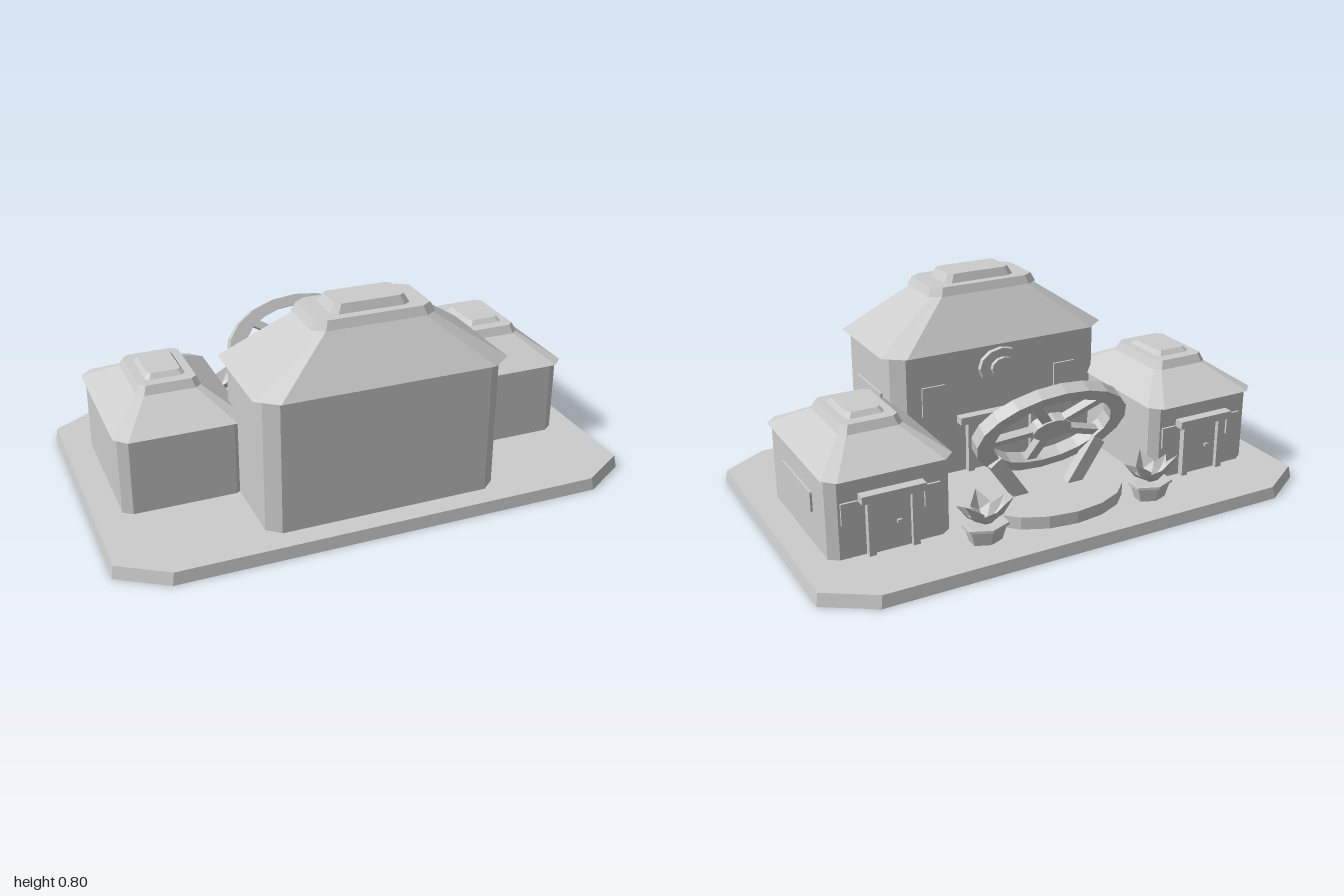
import * as THREE from 'three';

const stone = new THREE.MeshStandardMaterial({ color: 0xcccccc, flatShading: true, side: THREE.DoubleSide });
stone.name = 'grey stone';

function add(parent, name, geo, x = 0, y = 0, z = 0) {
  const m = new THREE.Mesh(geo, stone);
  m.name = name;
  m.position.set(x, y, z);
  parent.add(m);
  return m;
}

function group(parent, name, x = 0, y = 0, z = 0) {
  const g = new THREE.Group();
  g.name = name;
  g.position.set(x, y, z);
  parent.add(g);
  return g;
}

const box = (w, h, d) => new THREE.BoxGeometry(w, h, d);

// Open-bottomed stack of chamfered rectangles; each section is [y, halfX, halfZ, chamferX, chamferZ]
function loft(sections) {
  const rings = sections.map(([y, a, b, c, d]) => [
    [a, y, b - d], [a, y, d - b], [a - c, y, -b], [c - a, y, -b],
    [-a, y, d - b], [-a, y, b - d], [c - a, y, b], [a - c, y, b],
  ]);
  const p = [];
  const tri = (...v) => v.forEach((q) => p.push(...q));
  for (let s = 0; s < rings.length - 1; s++) {
    const lo = rings[s], hi = rings[s + 1];
    for (let i = 0; i < 8; i++) {
      const j = (i + 1) % 8;
      tri(lo[i], lo[j], hi[j]);
      tri(lo[i], hi[j], hi[i]);
    }
  }
  const top = rings[rings.length - 1];
  for (let i = 1; i < 7; i++) tri(top[0], top[i], top[i + 1]);
  const g = new THREE.BufferGeometry();
  g.setAttribute('position', new THREE.Float32BufferAttribute(p, 3));
  g.computeVertexNormals();
  return g;
}

// Door with posts, canopy and knob on a wall facing -z
function addDoor(parent, z, width, height, canopyHalf) {
  const g = group(parent, 'doorway', 0, 0.047, z);
  add(g, 'door', box(width, height, 0.016), 0, height / 2, 0);
  for (const s of [-1, 1]) add(g, 'doorPost', box(0.026, height, 0.05), s * width / 2, height / 2, 0);
  add(g, 'canopy', box(canopyHalf * 2, 0.03, 0.078), 0, height + 0.015, 0);
  add(g, 'doorKnob', box(0.016, 0.012, 0.012), -width * 0.15, height * 0.5, -0.012);
}

// Plant in a six-sided pot with broad folded leaves
function addPlant(parent, x) {
  const g = group(parent, 'pottedPlant', x, 0.047, -0.47);
  g.scale.x = 1.45;
  const pot = [[0, 0], [0.044, 0], [0.056, 0.056], [0.063, 0.056], [0.063, 0.066], [0.05, 0.066], [0, 0.06]];
  add(g, 'pot', new THREE.LatheGeometry(pot.map((q) => new THREE.Vector2(...q)), 6));
  const leaf = (r, h, w) => {
    const base = [0, 0, 0], tip = [0, h, r], keel = [0, h * 0.36, r * 0.62];
    const a = [-w, h * 0.6, r * 0.5], b = [w, h * 0.6, r * 0.5];
    const geo = new THREE.BufferGeometry();
    geo.setAttribute('position', new THREE.Float32BufferAttribute(
      [base, keel, a, a, keel, tip, base, b, keel, b, tip, keel].flat(), 3));
    geo.computeVertexNormals();
    return geo;
  };
  for (let i = 0; i < 6; i++) {
    add(g, 'leaf', leaf(0.076, i % 2 ? 0.08 : 0.108, 0.028), 0, 0.06, 0).rotation.y = i * Math.PI / 3;
  }
}

export function createModel() {
  const model = new THREE.Group();
  model.name = 'courtyard';

  // Hollow base slab, open underneath
  add(model, 'base', loft([[0, 1, 0.641, 0.18, 0.115], [0.047, 0.992, 0.634, 0.18, 0.115]]));

  // Large hall
  const hall = group(model, 'hall', 0, 0, 0.312);
  add(hall, 'hallWalls', loft([[0.047, 0.449, 0.237, 0.05, 0.042], [0.559, 0.449, 0.237, 0.05, 0.042]]));
  add(hall, 'hallRoof', loft([[0.559, 0.482, 0.259, 0.08, 0.06], [0.738, 0.222, 0.12, 0.036, 0.026]]));
  add(hall, 'hallRoofCap', loft([[0.737, 0.236, 0.128, 0.045, 0.03], [0.77, 0.22, 0.114, 0.04, 0.027]]));
  add(hall, 'hallRoofTop', loft([[0.77, 0.15, 0.08, 0.025, 0.017], [0.803, 0.131, 0.067, 0.02, 0.013]]));
  add(hall, 'sidePanel', box(0.016, 0.126, 0.24), 0.45, 0.325, 0);
  addDoor(hall, -0.237, 0.28, 0.21, 0.19);
  for (const s of [-1, 1]) add(hall, 'hallWindow', box(0.095, 0.12, 0.016), s * 0.29, 0.367, -0.237);

  // Round ornament over the door
  const ornament = group(hall, 'roundOrnament', 0, 0.465, -0.245);
  ornament.scale.x = 1.3;
  ornament.rotation.x = Math.PI / 2;
  add(ornament, 'ornamentDisc', new THREE.CylinderGeometry(0.074, 0.074, 0.026, 12));
  add(ornament, 'ornamentBoss', new THREE.CylinderGeometry(0.04, 0.04, 0.06, 12));

  // Two small houses
  for (const s of [-1, 1]) {
    const house = group(model, s > 0 ? 'leftHouse' : 'rightHouse', s * 0.658, 0, -0.064);
    add(house, 'houseWalls', loft([[0.047, 0.23, 0.297, 0.036, 0.026], [0.35, 0.23, 0.297, 0.036, 0.026]]));
    add(house, 'houseRoof', loft([[0.35, 0.244, 0.325, 0.045, 0.045], [0.439, 0.116, 0.152, 0.022, 0.02]]));
    add(house, 'houseRoofCap', loft([[0.438, 0.121, 0.16, 0.025, 0.022], [0.47, 0.107, 0.144, 0.022, 0.02]]));
    add(house, 'houseRoofTop', loft([[0.47, 0.075, 0.101, 0.015, 0.012], [0.488, 0.062, 0.085, 0.012, 0.01]]));
    addDoor(house, -0.297, 0.165, 0.208, 0.12);
    for (const t of [-1, 1]) add(house, 'houseWindow', box(0.06, 0.085, 0.018), t * 0.155, 0.218, -0.297);
    if (s > 0) add(house, 'sidePanel', box(0.016, 0.074, 0.295), 0.23, 0.212, 0);
  }

  // Round platform
  add(model, 'platform', new THREE.CylinderGeometry(0.194, 0.194, 0.048, 16), 0, 0.071, -0.328).scale.x = 1.5;

  // Leaning oval wheel, with its axis along local z
  const wheel = group(model, 'wheel', 0, 0.35, -0.315);
  wheel.rotation.x = -0.464;
  wheel.scale.x = 1.54;
  const R = 0.203, depth = 0.052;
  const ring = new THREE.Shape().absarc(0, 0, R, 0, Math.PI * 2);
  ring.holes.push(new THREE.Path().absarc(0, 0, R - 0.043, 0, Math.PI * 2, true));
  add(wheel, 'rim', new THREE.ExtrudeGeometry(ring, { depth, bevelEnabled: false, curveSegments: 10 }), 0, 0, -depth / 2);
  add(wheel, 'hub', new THREE.CylinderGeometry(0.052, 0.052, 0.042, 12)).rotation.x = Math.PI / 2;
  for (let i = 0; i < 5; i++) {
    const a = (65 + i * 72) * Math.PI / 180;
    add(wheel, 'spoke', box(0.14, 0.027, 0.03), Math.cos(a) * 0.108, Math.sin(a) * 0.108, 0).rotation.z = a;
  }

  // Slanted legs carrying the wheel
  for (const s of [-1, 1]) {
    add(model, 'wheelLeg', box(0.055, 0.2, 0.04), s * 0.165, 0.165, -0.29).rotation.z = -s * 0.6;
    addPlant(model, s * 0.35);
  }
  return model;
}
